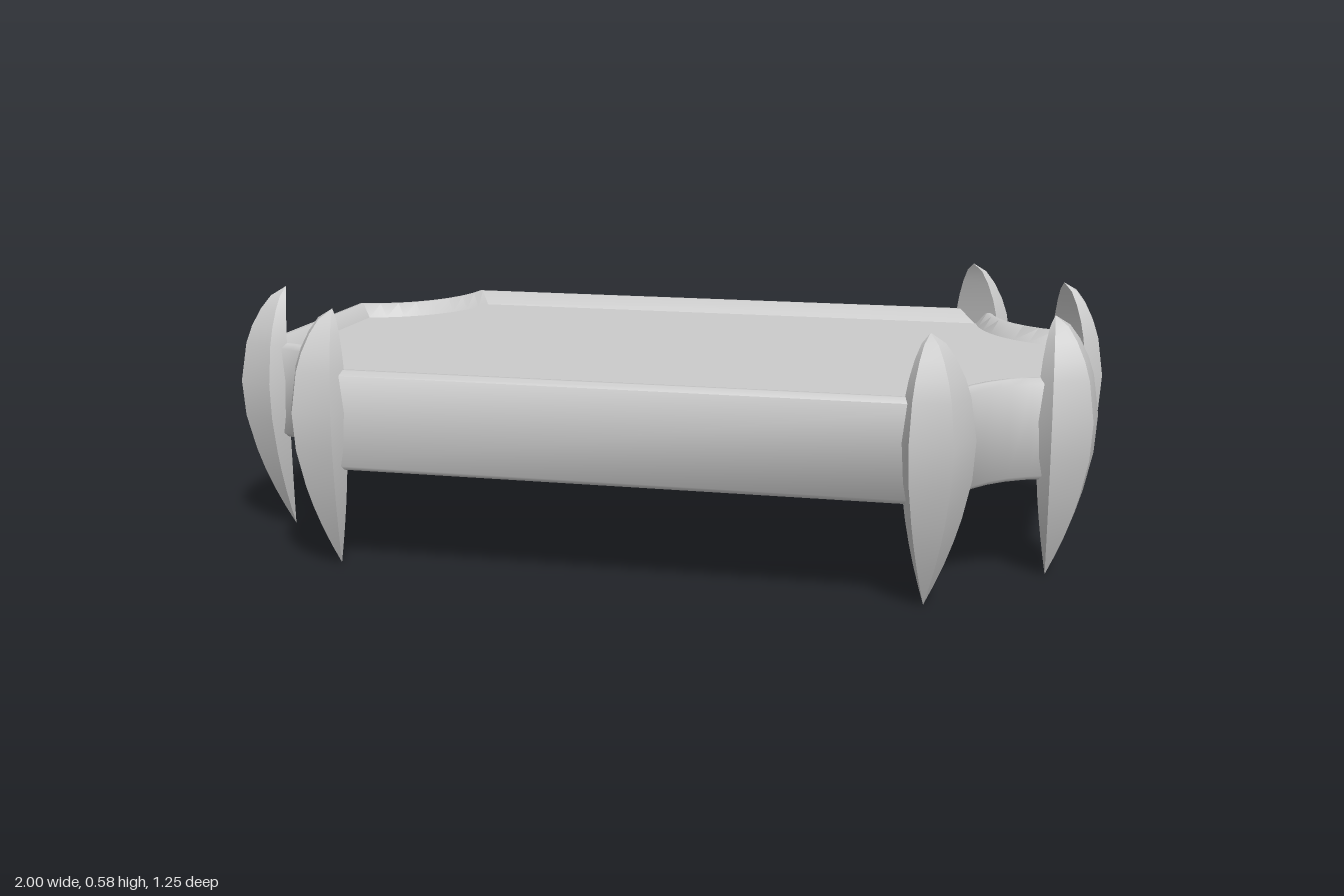
import * as THREE from 'three';
import { toCreasedNormals } from 'three/addons/utils/BufferGeometryUtils.js';

const material = new THREE.MeshStandardMaterial({ color: 0xcccccc });

// Skin a stack of closed rings, each an array of [x, y, z]
function loft(rings, crease) {
  const n = rings[0].length;
  const index = [];
  for (let i = 0; i < rings.length - 1; i++) {
    for (let j = 0; j < n; j++) {
      const a = i * n + j, b = i * n + ((j + 1) % n);
      index.push(a, a + n, b, b, a + n, b + n);
    }
  }
  const geometry = new THREE.BufferGeometry();
  geometry.setAttribute('position', new THREE.Float32BufferAttribute(rings.flat(2), 3));
  geometry.setIndex(index);
  return toCreasedNormals(geometry, crease);
}

// Rectangle with scooped corners, shrunk inwards by d
function outline(d) {
  const hx = 0.95, hz = 0.59, rx = 0.237 + d, rz = 0.285 + d, steps = 8;
  const a0 = Math.asin(d / rx), a1 = Math.acos(d / rz);
  const corner = [];
  for (let i = 0; i <= steps; i++) {
    // from the side edge round to the front edge
    const a = a0 + (a1 - a0) * (i / steps);
    corner.push([hx - rx * Math.sin(a), hz - rz * Math.cos(a)]);
  }
  const flip = (sx, sz) => corner.map(([x, z]) => [x * sx, z * sz]);
  return [...flip(1, 1), ...flip(-1, 1).reverse(), ...flip(-1, -1), ...flip(1, -1).reverse()];
}

function add(parent, name, geometry) {
  const mesh = new THREE.Mesh(geometry, material);
  mesh.name = name;
  parent.add(mesh);
  return mesh;
}

// Flat panel filling an outline, facing up or down
function panel(d, y, up) {
  const shape = new THREE.Shape(outline(d).map(([x, z]) => new THREE.Vector2(x, z)));
  return new THREE.ShapeGeometry(shape).rotateX(up ? -Math.PI / 2 : Math.PI / 2).translate(0, y, 0);
}

// Claw: ridged section swelling between two points; tip at (x, z), facing angle
const clawProfile = [[0.005, 0], [0.05, 0.21], [0.1, 0.42], [0.15, 0.6], [0.2, 0.75], [0.285, 0.94],
  [0.37, 1], [0.46, 0.87], [0.5, 0.74], [0.54, 0.54], [0.57, 0.32], [0.59, 0]];
const clawSection = [[0.074, 0.02], [0.078, 0.066], [0, 0.115], [-0.078, 0.066], [-0.074, 0.02]];

function claw(x, z, nx, nz) {
  const rings = clawProfile.map(([y, s]) => clawSection.map(([u, v]) => [
    x + s * (u * nz + v * nx), y, z + s * (-u * nx + v * nz),
  ]));
  return loft(rings, 0.45);
}

export function createModel() {
  const model = new THREE.Group();
  model.name = 'clawedTray';

  // Tray: side wall, rounded rim and slope down to the recessed floor
  const tray = new THREE.Group();
  tray.name = 'tray';
  model.add(tray);
  const wall = [[0.238, 0.01], [0.248, 0], [0.452, 0], [0.463, 0.012], [0.463, 0.022], [0.43, 0.047]];
  add(tray, 'rim', loft(wall.map(([y, d]) => outline(d).map(([x, z]) => [x, y, z])), 0.93));
  add(tray, 'floor', panel(0.047, 0.43, true));
  add(tray, 'underside', panel(0.01, 0.238, false));

  // A pair of claws on three of the four corners
  for (const [sx, sz, side] of [[1, 1, 'frontLeft'], [-1, 1, 'frontRight'], [1, -1, 'backLeft']]) {
    const pair = new THREE.Group();
    pair.name = side + 'Claws';
    model.add(pair);
    add(pair, 'innerClaw', claw(0.66 * sx, 0.525 * sz, 0.55 * sx, 0.835 * sz));
    add(pair, 'outerClaw', claw(0.9 * sx, 0.245 * sz, 0.8 * sx, 0.6 * sz));
  }
  return model;
}
